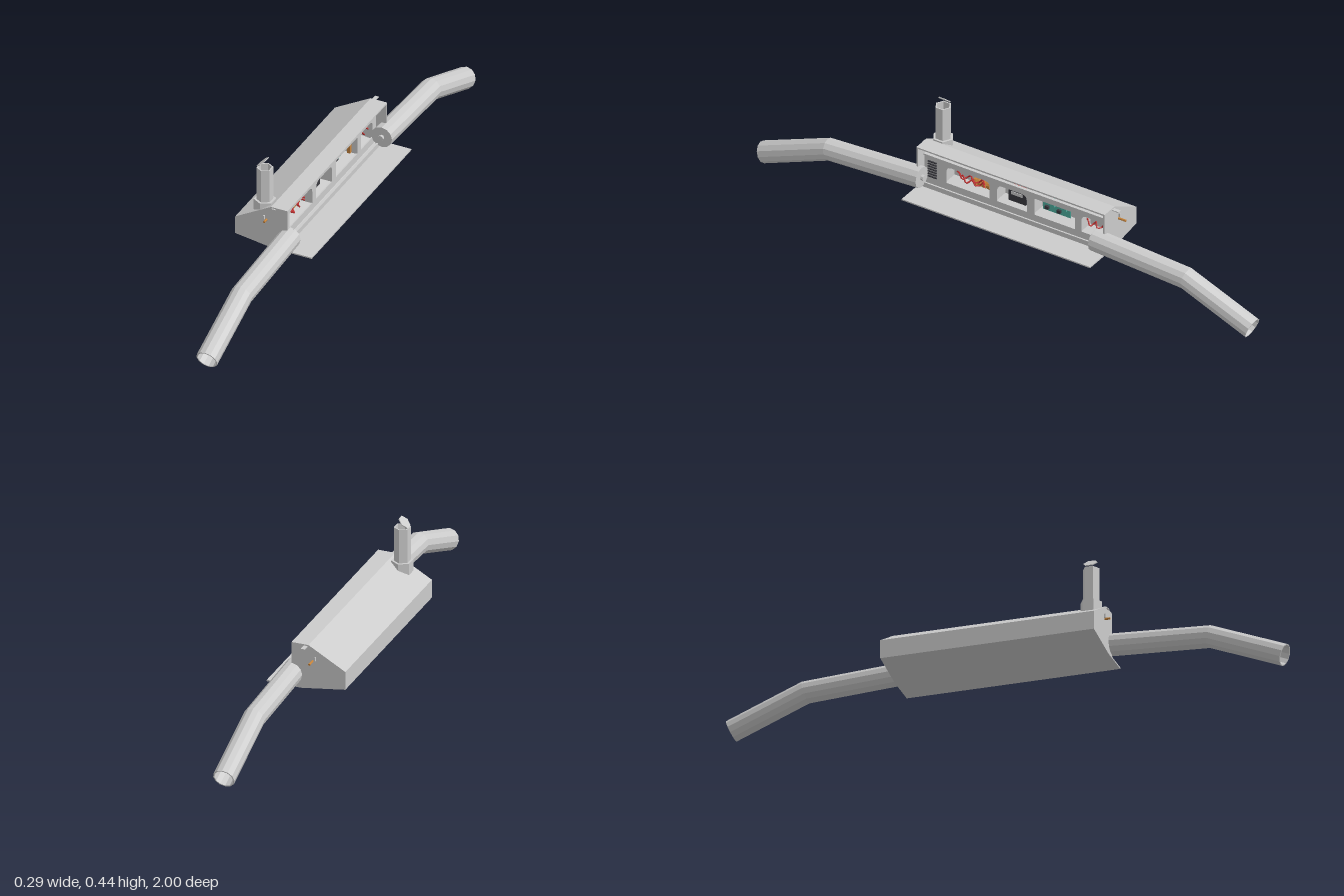
import * as THREE from 'three';

const paint = (color = 0xcccccc) =>
  new THREE.MeshStandardMaterial({ color, flatShading: true, side: THREE.DoubleSide });
const grey = paint(), red = paint(0xc03030), teal = paint(0x4fb0a0),
  tan = paint(0xc8853c), dark = paint(0x3a3a40), white = paint(0xeeeeee);

export function createModel() {
  const model = new THREE.Group();
  const Z0 = -0.39, Z1 = 0.37, LEN = Z1 - Z0, MID = (Z0 + Z1) / 2;

  const add = (name, geo, mat, x = 0, y = 0, z = 0, parent = model) => {
    const m = new THREE.Mesh(geo, mat);
    m.name = name;
    m.position.set(x, y, z);
    parent.add(m);
    return m;
  };
  const box = (name, w, h, d, x, y, z, mat = grey) =>
    add(name, new THREE.BoxGeometry(w, h, d), mat, x, y, z);
  const rodZ = (name, r, len, x, y, z, mat = grey, sides = 8) =>
    add(name, new THREE.CylinderGeometry(r, r, len, sides).rotateX(Math.PI / 2), mat, x, y, z);
  const polygon = (pts) => new THREE.Shape(pts.map(([x, y]) => new THREE.Vector2(x, y)));
  const extrude = (shape, depth) =>
    new THREE.ExtrudeGeometry(shape, { depth, bevelEnabled: false, curveSegments: 6 });

  // Housing: folded sheet open towards +x, with two end plates
  const outer = [[0.052, 0.117], [0.015, 0.117], [-0.145, 0.14], [-0.145, 0.207], [-0.01, 0.283], [0.052, 0.283]];
  const inner = [[0.052, 0.278], [-0.009, 0.278], [-0.14, 0.204], [-0.14, 0.144], [0.015, 0.122], [0.052, 0.122]];
  add('housingShell', extrude(polygon([...outer, ...inner]), LEN), grey, 0, 0, Z0);
  for (const z of [Z0, Z1 - 0.006])
    add('endPlate', extrude(polygon(outer), 0.006), grey, 0, 0, z);

  // Lowered hatch and the bottom lip of the opening
  box('openHatch', 0.092, 0.005, LEN, 0.097, 0.12, MID);
  box('bottomLip', 0.006, 0.018, LEN - 0.012, 0.035, 0.131, MID);

  // Equipment panel with rounded windows (u runs towards -z)
  const panel = polygon([[-Z1 + 0.006, 0.122], [-Z0 - 0.006, 0.122], [-Z0 - 0.006, 0.235], [-Z1 + 0.006, 0.235]]);
  const windows = [[-0.275, -0.1, 0.022], [-0.07, 0.05, 0.022], [0.08, 0.245, 0.006], [0.27, 0.36, 0.022]];
  for (const [a, b, r] of windows) {
    const lo = 0.15, hi = 0.215, hole = new THREE.Path();
    hole.moveTo(a, lo).lineTo(b, lo).lineTo(b, hi - r);
    hole.quadraticCurveTo(b, hi, b - r, hi).lineTo(a + r, hi);
    hole.quadraticCurveTo(a, hi, a, hi - r).lineTo(a, lo);
    panel.holes.push(hole);
  }
  add('equipmentPanel', extrude(panel, 0.004).rotateY(Math.PI / 2), grey, 0.008);
  box('panelTopRail', 0.012, 0.006, LEN - 0.012, 0.01, 0.236, MID);
  box('compartmentBack', 0.004, 0.085, LEN - 0.012, -0.06, 0.183, MID);
  for (const z of [0.29, 0.085, -0.065, -0.258])
    box('divider', 0.066, 0.09, 0.005, -0.026, 0.185, z);
  for (let i = 0; i < 7; i++)
    box('ventSlat', 0.006, 0.004, 0.035, 0.014, 0.155 + i * 0.01, 0.33, dark);

  // Coloured equipment behind the windows
  const wire = (z, len, y, mat) => {
    const pts = [];
    for (let i = 0; i <= 8; i++)
      pts.push(new THREE.Vector3(-0.01 + 0.008 * Math.cos(i * 2), y + 0.01 * Math.sin(i * 1.9), z + len * (i / 8 - 0.5)));
    add('wire', new THREE.TubeGeometry(new THREE.CatmullRomCurve3(pts), 24, 0.003, 5), mat);
  };
  wire(0.19, 0.12, 0.185, red);
  wire(0.18, 0.1, 0.175, red);
  wire(-0.315, 0.08, 0.182, red);
  for (let i = 0; i < 4; i++)
    rodZ('coil', 0.014, 0.012, -0.035, 0.165, 0.13 + i * 0.018, tan, 10);
  box('controlBox', 0.03, 0.045, 0.07, -0.035, 0.17, 0.01, dark);
  box('controlLabel', 0.002, 0.012, 0.045, -0.018, 0.182, 0.01, white);
  box('redBox', 0.02, 0.02, 0.05, -0.04, 0.2, 0.01, red);
  box('circuitBoard', 0.004, 0.055, 0.11, -0.03, 0.183, -0.145, teal);
  for (let i = 0; i < 4; i++)
    box('chip', 0.01, 0.012 + 0.006 * (i % 2), 0.014, -0.024, 0.17 + 0.02 * (i % 2), -0.108 - i * 0.024, i % 2 ? teal : dark);
  box('post', 0.012, 0.055, 0.01, -0.015, 0.18, -0.235, tan);

  // Bent pipes: rings of a cylinder moved onto mitred cross-sections
  const path = [[0.168, 0.35], [0.147, 0.72], [0.04, 0.985]];
  const angles = [0, 1].map((i) => Math.atan2(path[i + 1][0] - path[i][0], path[i + 1][1] - path[i][1]));
  const tilt = [0, (angles[0] + angles[1]) / 2, angles[1]];
  const pipeWall = (r) => {
    const geo = new THREE.CylinderGeometry(r, r, 2, 12, 2, true);
    const p = geo.attributes.position;
    for (let i = 0; i < p.count; i++) {
      const k = Math.round(p.getY(i) + 1), off = p.getZ(i);
      p.setXYZ(i, p.getX(i), path[k][0] + off * Math.cos(tilt[k]), path[k][1] - off * Math.sin(tilt[k]));
    }
    geo.computeVertexNormals();
    return geo;
  };
  [0, Math.PI].forEach((turn, i) => {
    const pipe = new THREE.Group();
    pipe.name = i ? 'rearPipe' : 'frontPipe';
    pipe.position.x = 0.052;
    pipe.rotation.y = turn;
    model.add(pipe);
    add('pipeOuterWall', pipeWall(0.039), grey, 0, 0, 0, pipe);
    add('pipeInnerWall', pipeWall(0.035), grey, 0, 0, 0, pipe);
    const rim = add('pipeRim', new THREE.RingGeometry(0.035, 0.039, 12), grey, 0, path[2][0], path[2][1], pipe);
    rim.rotation.x = -angles[1];
    const disc = new THREE.CylinderGeometry(0.039, 0.039, 0.004, 12).rotateX(Math.PI / 2);
    add('pipeEndDisc', disc, grey, 0, path[0][0], path[0][1], pipe);
    const hub = new THREE.CylinderGeometry(0.01, 0.01, 0.012, 8).rotateX(Math.PI / 2);
    add('pipeEndHub', hub, grey, 0, path[0][0], path[0][1] - 0.006, pipe);
  });

  // Hexagonal chimney with a tilted flap
  const cx = -0.053, cz = 0.33;
  add('chimneyBase', new THREE.CylinderGeometry(0.038, 0.038, 0.045, 6), grey, cx, 0.26, cz);
  const stack = [[0.029, 0.28], [0.029, 0.408], [0.024, 0.408], [0.024, 0.285], [0, 0.285]];
  add('chimneyStack', new THREE.LatheGeometry(stack.map(([r, y]) => new THREE.Vector2(r, y)), 6), grey, cx, 0, cz);
  const flap = add('chimneyFlap', new THREE.CylinderGeometry(0.025, 0.025, 0.003, 6), grey, -0.061, 0.427, cz);
  flap.rotation.z = 0.75;

  // Latch pins and hinge ends on both end plates
  for (const [z, s] of [[Z0, -1], [Z1, 1]]) {
    rodZ('latchPin', 0.004, 0.03, -0.027, 0.228, z + s * (s < 0 ? 0.02 : 0.004), tan);
    box('latchPlate', 0.004, 0.014, 0.008, -0.035, 0.236, z + s * 0.002);
    box('hingeTab', 0.014, 0.003, 0.03, 0, 0.277, z + s * (s < 0 ? 0.012 : -0.01));
  }
  return model;
}
